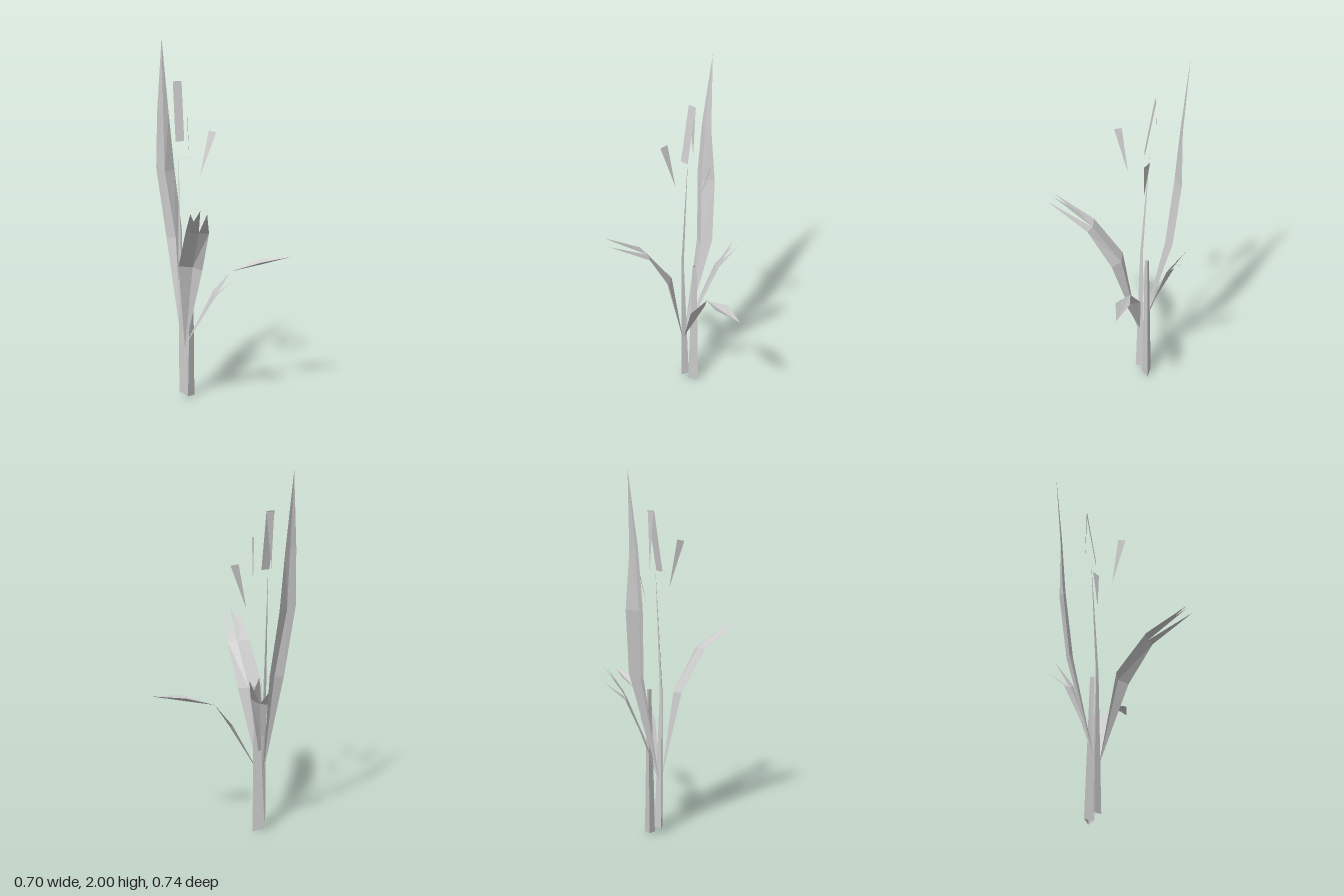
import * as THREE from 'three';

const material = new THREE.MeshStandardMaterial({ color: 0xcccccc, flatShading: true, side: THREE.DoubleSide });

// Skin a strip through cross-section rows; a one-point row is a pointed end.
function strip(rows, closed = false) {
  const pos = [];
  const tri = (a, b, c) => pos.push(...a, ...b, ...c);
  for (let r = 0; r < rows.length - 1; r++) {
    const lo = rows[r], hi = rows[r + 1];
    const n = Math.max(lo.length, hi.length);
    const at = (row, i) => row[row.length === 1 ? 0 : i % n];
    for (let i = 0; i < (closed ? n : n - 1); i++) {
      if (lo.length > 1) tri(at(lo, i), at(lo, i + 1), at(hi, i + 1));
      if (hi.length > 1) tri(at(lo, i), at(hi, i + 1), at(hi, i));
    }
  }
  const g = new THREE.BufferGeometry();
  g.setAttribute('position', new THREE.Float32BufferAttribute(pos, 3));
  g.computeVertexNormals();
  return g;
}

// Three-sided stem section
function ring(x, y, z, r, turn) {
  return [0, 1, 2].map((i) => {
    const a = turn + (i * Math.PI * 2) / 3;
    return [x + r * Math.cos(a), y, z + r * Math.sin(a)];
  });
}

export function createModel() {
  const model = new THREE.Group();
  const add = (name, rows, closed, parent = model) => {
    const mesh = new THREE.Mesh(strip(rows, closed), material);
    mesh.name = name;
    parent.add(mesh);
  };
  const group = (name) => {
    const g = new THREE.Group();
    g.name = name;
    model.add(g);
    return g;
  };

  // Stems: a long flowering one and a short cut one
  add('floweringStem', [
    ring(-0.145, 0.04, -0.033, 0.027, 0.5),
    ring(-0.16, 0.81, -0.018, 0.009, 0.5),
    [[-0.185, 1.48, -0.045]],
  ], true);
  add('shortStem', [
    [[-0.185, 0.015, -0.08], [-0.127, 0.005, -0.116], [-0.135, 0.01, -0.058]],
    [[-0.147, 0.81, -0.09], [-0.126, 0.81, -0.102], [-0.128, 0.81, -0.078]],
  ], true);

  // Tall upright leaf, each row: edge, midrib, edge
  add('tallLeaf', [
    [[-0.155, 0.3, -0.03]],
    [[-0.29, 0.9, -0.09], [-0.245, 0.9, -0.115], [-0.24, 0.92, -0.178]],
    [[-0.35, 1.29, -0.083], [-0.31, 1.27, -0.108], [-0.292, 1.27, -0.183]],
    [[-0.355, 1.6, -0.105], [-0.328, 1.59, -0.125], [-0.312, 1.58, -0.158]],
    [[-0.355, 2.0, -0.156]],
  ]);

  // Front leaf with a torn, three-pointed end
  const front = group('frontLeaf');
  const fA = [0, 1.01, 0.195], fM = [0.053, 1.0, 0.148], fB = [0.105, 1.0, 0.13];
  add('frontLeafBlade', [
    [[-0.135, 0.3, -0.025]],
    [[-0.11, 0.79, 0.083], [-0.053, 0.78, 0.03], [0.012, 0.77, 0.038]],
    [fA, fM, fB],
  ], false, front);
  add('frontLeafLeftPoint', [[fA, fM], [[0.13, 1.145, 0.37]]], false, front);
  add('frontLeafMiddlePoint', [[[0.015, 1.01, 0.205], fM], [[0.17, 1.16, 0.337]]], false, front);
  add('frontLeafRightPoint', [[fM, fB], [[0.21, 1.145, 0.337]]], false, front);

  // Side leaf, split at the fold, with its outer half bent flat
  const side = group('sideLeaf');
  const sM = [0.002, 0.6, -0.115], sB = [0.027, 0.6, -0.083], fold = [0.07, 0.73, -0.175];
  add('sideLeafBlade', [
    [[-0.14, 0.31, -0.032]],
    [[-0.025, 0.62, -0.157], sM, sB],
    [fold],
  ], false, side);
  add('sideLeafTornPoint', [[sM, sB], [[0.117, 0.7, -0.138]]], false, side);
  add('sideLeafOuterBlade', [
    [fold],
    [[0.183, 0.79, -0.297], [0.205, 0.765, -0.268], [0.227, 0.785, -0.231]],
    [[0.35, 0.806, -0.37]],
  ], false, side);

  // Back leaf, also torn into three points
  const back = group('backLeaf');
  const bA = [-0.237, 0.77, -0.198], bM = [-0.192, 0.77, -0.196], bB = [-0.152, 0.8, -0.225];
  add('backLeafBlade', [
    [[-0.15, 0.31, -0.035]],
    [[-0.19, 0.56, -0.115], [-0.17, 0.56, -0.112], [-0.152, 0.56, -0.13]],
    [bA, bM, bB],
  ], false, back);
  add('backLeafLeftPoint', [[bA, bM], [[-0.276, 0.87, -0.298]]], false, back);
  add('backLeafMiddlePoint', [[[-0.205, 0.77, -0.198], bM, bB], [[-0.223, 0.945, -0.3]]], false, back);
  add('backLeafRightPoint', [[bM, bB], [[-0.178, 0.935, -0.327]]], false, back);

  // Flower petals at the top
  const flower = group('flower');
  add('flatPetal', [
    [[-0.218, 1.775, -0.045], [-0.187, 1.775, -0.085]],
    [[-0.18, 1.455, -0.008], [-0.148, 1.455, -0.046]],
  ], false, flower);
  add('hangingPetal', [
    [[-0.217, 1.77, -0.05], [-0.187, 1.77, -0.083]],
    [[-0.21, 1.47, -0.07]],
  ], false, flower);
  add('frontPetal', [
    [[-0.05, 1.6, 0.087], [-0.074, 1.61, 0.053]],
    [[-0.082, 1.355, 0.012]],
  ], false, flower);
  add('backPetal', [
    [[-0.066, 1.505, -0.172], [-0.022, 1.495, -0.175]],
    [[-0.086, 1.255, -0.107]],
  ], false, flower);

  return model;
}
